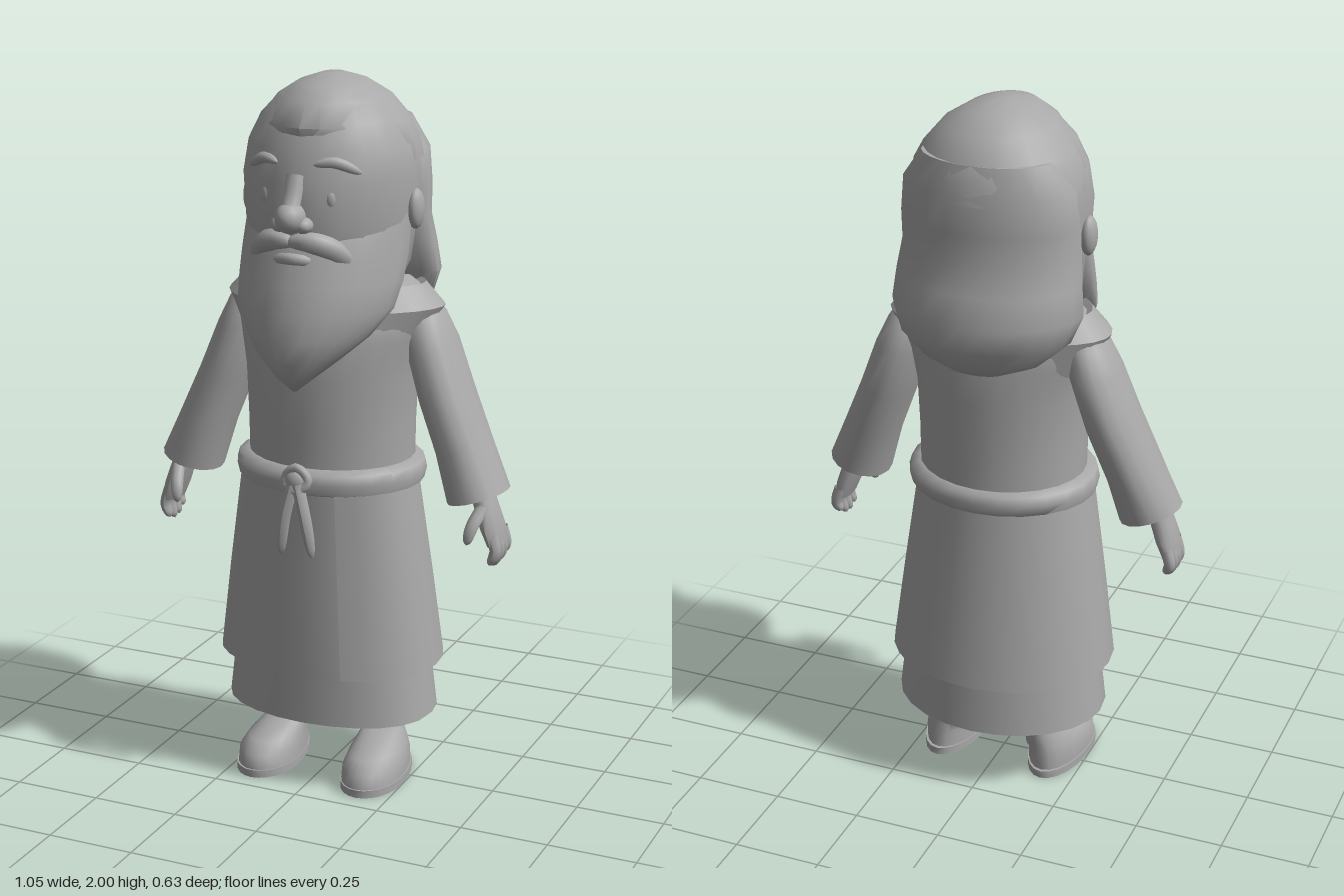
import * as THREE from 'three';
import { toCreasedNormals } from 'three/addons/utils/BufferGeometryUtils.js';

const stone = new THREE.MeshStandardMaterial({ color: 0xa8a8a8, side: THREE.DoubleSide });
stone.name = 'plain grey';

// Skin horizontal cross-sections, listed bottom to top:
// [y, half width, front z, back z, widest z, front sharpness, centre x, sideways tilt]
function loft(rings, { n = 24, gap = 0, cap = true, crease = 0.9 } = {}) {
  const pos = [], idx = [];
  for (const [y, rx, zf, zb, zm = (zf + zb) / 2, p = 1, cx = 0, tilt = 0] of rings) {
    for (let j = 0; j <= n; j++) {
      const a = gap + (j / n) * (Math.PI * 2 - gap * 2);
      const x = rx * Math.sin(a), c = Math.cos(a);
      const z = c > 0 ? zm + (zf - zm) * Math.pow(c, p) : zm - (zb - zm) * c;
      pos.push(cx + x, y + tilt * x, z);
    }
  }
  const w = n + 1;
  for (let i = 0; i < rings.length - 1; i++) {
    for (let j = 0; j < n; j++) {
      const a = i * w + j, b = a + w;
      idx.push(a, a + 1, b + 1, a, b + 1, b);
    }
  }
  if (cap) {
    const last = (rings.length - 1) * w;
    for (let j = 1; j < n - 1; j++) {
      idx.push(0, j + 1, j, last, last + j, last + j + 1);
    }
  }
  const g = new THREE.BufferGeometry();
  g.setAttribute('position', new THREE.Float32BufferAttribute(pos, 3));
  g.setIndex(idx);
  return toCreasedNormals(g, crease);
}

function add(parent, name, geometry) {
  const m = new THREE.Mesh(geometry, stone);
  m.name = name;
  parent.add(m);
  return m;
}

// Round cord along points; taper(t) scales its thickness
function cord(points, r, taper = () => 1, closed = false, seg = 16) {
  const curve = new THREE.CatmullRomCurve3(points.map(p => new THREE.Vector3(...p)), closed);
  const g = new THREE.TubeGeometry(curve, seg, r, 8, closed);
  const pos = g.attributes.position, v = new THREE.Vector3();
  for (let i = 0; i < pos.count; i++) {
    const t = Math.floor(i / 9) / seg;
    const c = curve.getPointAt(Math.min(t, 1));
    v.fromBufferAttribute(pos, i).sub(c).multiplyScalar(taper(t)).add(c);
    pos.setXYZ(i, v.x, v.y, v.z);
  }
  g.computeVertexNormals();
  return g;
}

function blob(parent, name, at, scale) {
  const m = add(parent, name, new THREE.SphereGeometry(1, 16, 12));
  m.position.set(...at);
  m.scale.set(...scale);
  return m;
}

const pointed = t => Math.sqrt(Math.max(0.01, 1 - Math.pow(2 * t - 1, 2)));
const roundTip = t => Math.sqrt(Math.max(0, 1 - Math.pow(t, 5)));

function buildHead() {
  const head = new THREE.Group();
  head.name = 'head';
  add(head, 'face', loft([
    [1.36, 0.15, 0.17, -0.14, 0, 1.1], [1.5, 0.22, 0.225, -0.2, 0, 1.2],
    [1.62, 0.235, 0.25, -0.24, 0, 1.2], [1.74, 0.243, 0.24, -0.25, 0, 1.15],
    [1.82, 0.23, 0.215, -0.24, 0, 1.1], [1.89, 0.192, 0.185, -0.21, 0],
    [1.95, 0.135, 0.14, -0.16, 0], [1.985, 0.07, 0.09, -0.1, 0], [1.995, 0.01, 0, -0.02],
  ]));
  // Swept-back crown with a peak over the forehead
  add(head, 'hairCrown', loft([
    [1.78, 0.242, 0.12, -0.258, -0.03, 1.6], [1.83, 0.234, 0.19, -0.25, -0.02, 1.6],
    [1.88, 0.207, 0.205, -0.23, -0.02, 1.45], [1.94, 0.155, 0.165, -0.185, -0.02, 1.2],
    [1.98, 0.09, 0.11, -0.12, -0.02], [2.0, 0.03, 0.03, -0.05],
  ]));
  // Long hair down the back of the neck
  add(head, 'hairBack', loft([
    [1.3, 0.08, -0.15, -0.235], [1.33, 0.17, -0.12, -0.265, -0.16],
    [1.39, 0.24, -0.1, -0.305, -0.13], [1.46, 0.268, -0.06, -0.312, -0.11],
    [1.54, 0.26, -0.03, -0.285, -0.1], [1.62, 0.25, -0.01, -0.262, -0.08],
    [1.7, 0.249, -0.02, -0.26, -0.09], [1.8, 0.238, -0.05, -0.255, -0.1],
    [1.88, 0.18, -0.08, -0.23, -0.12],
  ]));
  add(head, 'beard', loft([
    [1.18, 0.006, 0.245, 0.235], [1.22, 0.055, 0.285, 0.19, 0.23],
    [1.27, 0.115, 0.312, 0.16, 0.2, 1.2], [1.33, 0.18, 0.314, 0.12, 0.15, 1.4],
    [1.4, 0.228, 0.306, 0.05, 0.1, 1.4], [1.47, 0.238, 0.285, 0, 0.06, 1.35],
    [1.54, 0.24, 0.262, -0.04, 0.03, 1.3], [1.61, 0.238, 0.235, -0.05, 0.01, 1.3],
    [1.68, 0.235, 0.18, -0.06, 0, 1.4],
  ]));
  blob(head, 'nose', [0, 1.655, 0.262], [0.04, 0.042, 0.05]);
  add(head, 'noseBridge', cord([[0, 1.76, 0.225], [0, 1.7, 0.25], [0, 1.66, 0.275]], 0.026));
  add(head, 'lowerLip', cord(
    [[-0.1, 1.525, 0.2], [0, 1.545, 0.262], [0.1, 1.525, 0.2]], 0.016, pointed));
  for (const s of [1, -1]) {
    const side = s > 0 ? 'left' : 'right';
    blob(head, side + 'Nostril', [s * 0.034, 1.635, 0.25], [0.024, 0.022, 0.03]);
    blob(head, side + 'Eye', [s * 0.093, 1.7, 0.208], [0.017, 0.028, 0.014]).rotation.y = s * 0.5;
    blob(head, side + 'Ear', [s * 0.243, 1.65, -0.01], [0.022, 0.055, 0.035]);
    add(head, side + 'Eyebrow', cord(
      [[s * 0.052, 1.792, 0.228], [s * 0.1, 1.798, 0.205], [s * 0.162, 1.768, 0.165]],
      0.015, pointed));
    add(head, side + 'Moustache', cord(
      [[-s * 0.015, 1.59, 0.265], [s * 0.05, 1.592, 0.252], [s * 0.1, 1.57, 0.218],
        [s * 0.148, 1.515, 0.165]], 0.03, pointed));
  }
  return head;
}

function buildRobe() {
  const robe = new THREE.Group();
  robe.name = 'robe';
  add(robe, 'torso', loft([
    [0.88, 0.235, 0.2, -0.215], [1.05, 0.238, 0.2, -0.212], [1.2, 0.245, 0.2, -0.212],
    [1.3, 0.265, 0.19, -0.212], [1.37, 0.285, 0.16, -0.2], [1.41, 0.28, 0.12, -0.18],
    [1.45, 0.22, 0.08, -0.15],
  ]));
  // Standing collar flaring over the shoulders
  add(robe, 'collar', loft([
    [1.22, 0.23, 0.195, -0.19, -0.03, 1.1], [1.385, 0.318, 0.17, -0.19, -0.03, 1.2],
    [1.445, 0.262, 0.13, -0.16, -0.03, 1.2], [1.4, 0.2, 0.1, -0.12, -0.03, 1.2],
  ], { gap: 0.35, cap: false, crease: 0.5 }));
  add(robe, 'innerSkirt', loft([
    [0.2, 0.305, 0.2, -0.26, -0.02, 0.8], [0.36, 0.285, 0.2, -0.25, -0.02, 0.8],
    [0.65, 0.255, 0.196, -0.22, -0.01, 0.8], [0.9, 0.225, 0.19, -0.2, 0, 0.8],
  ], { cap: false }));
  // Coat skirt, open down the front
  add(robe, 'outerSkirt', loft([
    [0.355, 0.322, 0.235, -0.28, -0.02, 0.75], [0.6, 0.29, 0.225, -0.255, -0.01, 0.75],
    [0.9, 0.248, 0.21, -0.215, 0, 0.75],
  ], { gap: 0.4, cap: false }));
  // Rope belt with its knot and two hanging ends
  add(robe, 'belt', loft([
    [0.875, 0.24, 0.2, -0.21], [0.885, 0.265, 0.225, -0.23], [0.915, 0.272, 0.232, -0.238],
    [0.94, 0.265, 0.225, -0.23], [0.952, 0.238, 0.2, -0.21],
  ]));
  blob(robe, 'beltKnot', [0, 0.925, 0.235], [0.035, 0.036, 0.026]);
  add(robe, 'beltLoop', cord(
    [[-0.03, 0.93, 0.24], [0.005, 0.965, 0.24], [0.04, 0.93, 0.24], [0.005, 0.9, 0.25]],
    0.013, () => 1, true));
  add(robe, 'beltEndRight', cord(
    [[-0.005, 0.92, 0.245], [-0.028, 0.82, 0.25], [-0.043, 0.71, 0.242]], 0.018, roundTip));
  add(robe, 'beltEndLeft', cord(
    [[0.01, 0.92, 0.245], [0.035, 0.82, 0.25], [0.052, 0.71, 0.242]], 0.018, roundTip));
  return robe;
}

function buildLimbs(side) {
  const g = new THREE.Group();
  g.name = side + 'Limbs';
  // Loose sleeve ending in a tilted cuff
  add(g, 'sleeve', loft([
    [0.9, 0.05, 0.05, -0.07, -0.01, 1, 0.432, 0.3], [0.872, 0.084, 0.09, -0.11, -0.01, 1, 0.437, 0.3],
    [1.0, 0.075, 0.085, -0.125, -0.02, 1, 0.39, 0.25], [1.14, 0.073, 0.075, -0.142, -0.03, 1, 0.332, 0.2],
    [1.28, 0.07, 0.06, -0.145, -0.04, 1, 0.283, 0.1], [1.36, 0.058, 0.035, -0.12, -0.04, 1, 0.26],
    [1.4, 0.035, 0, -0.08, -0.04, 1, 0.25],
  ], { n: 16 }));
  add(g, 'palm', loft([
    [0.745, 0.022, 0.055, -0.05, 0, 1, 0.497], [0.79, 0.03, 0.065, -0.055, 0, 1, 0.485],
    [0.84, 0.032, 0.055, -0.045, 0, 1, 0.468], [0.92, 0.032, 0.035, -0.04, 0, 1, 0.44],
  ], { n: 14 }));
  for (let i = 0; i < 4; i++) {
    const z = 0.04 - i * 0.028, drop = [0.01, 0, 0.004, 0.022][i];
    add(g, 'finger', cord(
      [[0.494, 0.78, z], [0.506, 0.73, z], [0.49, 0.682 + drop, z + 0.004]], 0.017, roundTip));
  }
  add(g, 'thumb', cord(
    [[0.465, 0.85, 0.035], [0.45, 0.805, 0.075], [0.441, 0.758, 0.092]], 0.019, roundTip));
  // Shoe, then the leg rising out of it
  add(g, 'shoeSole', loft([
    [0, 0.086, 0.2, -0.13, 0.07, 1, 0.163], [0.022, 0.086, 0.2, -0.13, 0.07, 1, 0.163],
  ]));
  add(g, 'shoe', loft([
    [0.02, 0.083, 0.195, -0.12, 0.07, 1, 0.162], [0.06, 0.082, 0.19, -0.118, 0.06, 1, 0.162],
    [0.09, 0.072, 0.15, -0.115, 0.03, 1, 0.158], [0.115, 0.06, 0.07, -0.112, -0.02, 1, 0.15],
    [0.14, 0.05, 0.005, -0.108, -0.05, 1, 0.142],
  ]));
  add(g, 'leg', loft([
    [0.08, 0.05, 0, -0.105, -0.05, 1, 0.142], [0.2, 0.055, 0.005, -0.112, -0.05, 1, 0.138],
    [0.45, 0.06, 0.01, -0.115, -0.05, 1, 0.13],
  ], { n: 16 }));
  return g;
}

export function createModel() {
  const model = new THREE.Group();
  model.name = 'beardedManInRobe';
  const right = buildLimbs('right');
  right.scale.x = -1;
  model.add(buildHead(), buildRobe(), buildLimbs('left'), right);
  return model;
}
